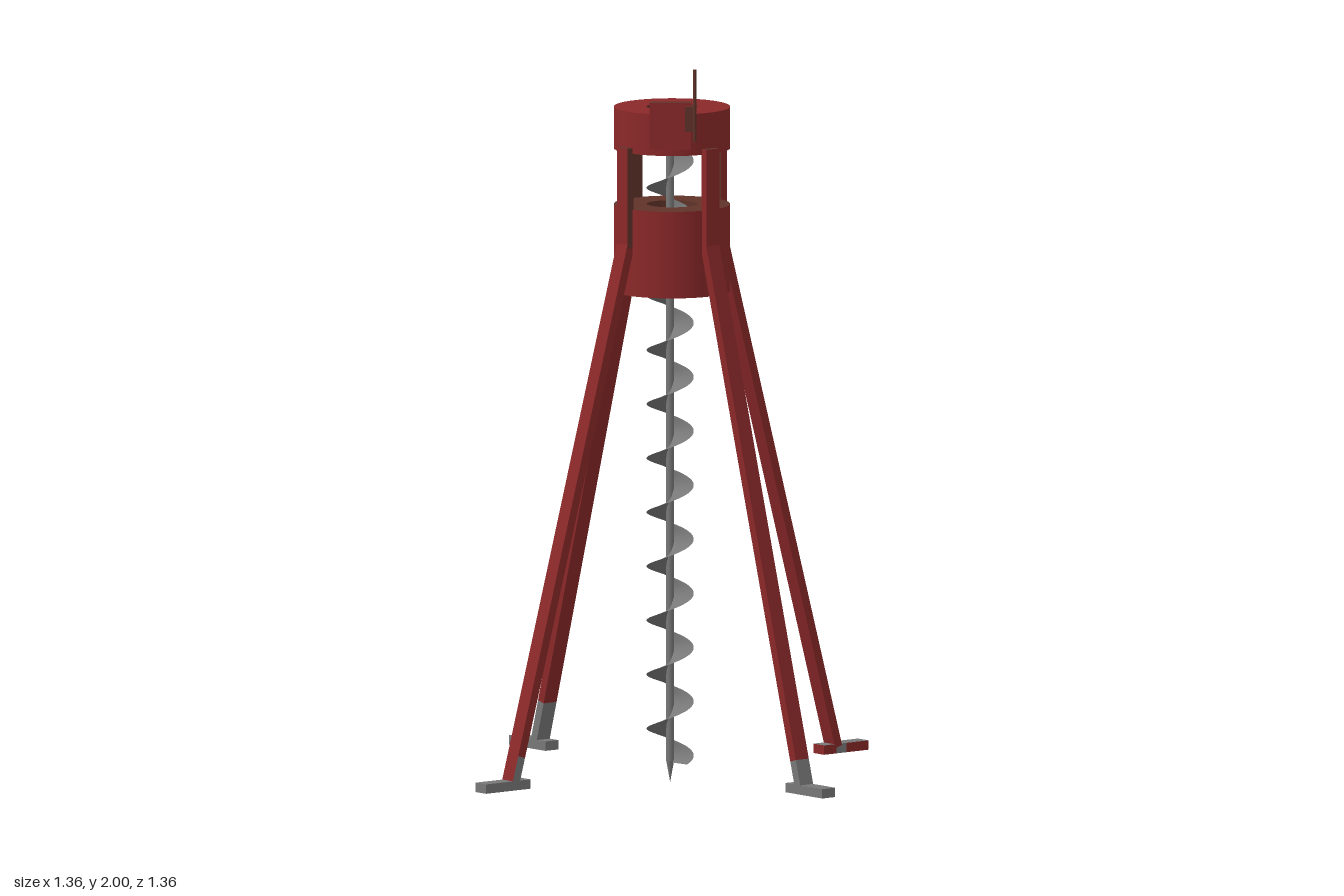
import * as THREE from 'three';

const mat = (name, color, side = THREE.FrontSide) => {
  const m = new THREE.MeshStandardMaterial({ color, side });
  m.name = name;
  return m;
};

export function createModel() {
  const red = mat('red paint', 0x8b2829, THREE.DoubleSide);
  const brown = mat('worn brown', 0x5f3329, THREE.DoubleSide);
  const steel = mat('steel grey', 0x797878, THREE.DoubleSide);

  const model = new THREE.Group();
  model.name = 'augerRig';
  const add = (parent, name, geo, material, x = 0, y = 0, z = 0) => {
    const m = new THREE.Mesh(geo, material);
    m.name = name;
    m.position.set(x, y, z);
    parent.add(m);
    return m;
  };

  // Hollow drums around the auger
  const R = 0.16, HOLE = 0.07;
  function drum(name, y0, y1, topMat) {
    const g = new THREE.Group(), h = y1 - y0;
    g.name = name;
    add(g, name + 'Wall', new THREE.CylinderGeometry(R, R, h, 48, 1, true), red, 0, (y0 + y1) / 2);
    add(g, name + 'Bore', new THREE.CylinderGeometry(HOLE, HOLE, h, 48, 1, true), brown, 0, (y0 + y1) / 2);
    add(g, name + 'Top', new THREE.RingGeometry(HOLE, R, 48).rotateX(-Math.PI / 2), topMat, 0, y1);
    add(g, name + 'Bottom', new THREE.RingGeometry(HOLE, R, 48).rotateX(Math.PI / 2), red, 0, y0);
    model.add(g);
  }
  drum('upperDrum', 1.76, 1.875, red);
  drum('lowerDrum', 1.365, 1.605, brown);

  // Auger: shaft, pointed tip and helical flight
  const auger = new THREE.Group();
  auger.name = 'auger';
  auger.position.z = -0.008;
  add(auger, 'shaft', new THREE.CylinderGeometry(0.011, 0.011, 1.8, 16), steel, 0, 0.96);
  add(auger, 'tip', new THREE.ConeGeometry(0.011, 0.06, 16).rotateX(Math.PI), steel, 0, 0.03);

  const y0 = 0.055, y1 = 1.855, pitch = 0.15, steps = 432;
  const pos = [], idx = [];
  for (let i = 0; i <= steps; i++) {
    const y = y0 + (y1 - y0) * i / steps;
    const t = -2 * Math.PI * (y - 1.29) / pitch;
    for (const r of [0.008, 0.065]) pos.push(r * Math.cos(t), y, r * Math.sin(t));
    if (i < steps) {
      const a = 2 * i;
      idx.push(a, a + 2, a + 1, a + 1, a + 2, a + 3);
    }
  }
  const flight = new THREE.BufferGeometry();
  flight.setAttribute('position', new THREE.Float32BufferAttribute(pos, 3));
  flight.setIndex(idx);
  flight.computeVertexNormals();
  add(auger, 'flight', flight, steel);
  model.add(auger);

  // Four splayed legs, each built pointing to +x then turned
  const W = 0.046, T = 0.025;
  const knee = new THREE.Vector2(0.165, 1.505), ankle = new THREE.Vector2(0.573, 0.05);
  function bar(parent, name, a, b, material) {
    const d = b.clone().sub(a);
    const m = add(parent, name, new THREE.BoxGeometry(T, d.length(), W), material, (a.x + b.x) / 2, (a.y + b.y) / 2);
    m.rotation.z = Math.atan2(d.x, -d.y);
  }
  // Face order: outer, inner, top, bottom, then the two flanks
  const bare = Array(6).fill(steel);
  const legs = [
    { name: 'leftLeg', turn: 0, bare: 0.05, boot: red, flank: red,
      foot: [steel, red, steel, red, red, red], instep: [steel, red, steel, red, steel, red] },
    { name: 'backLeg', turn: Math.PI / 2, bare: 0.08, boot: bare, flank: red, foot: bare, instep: bare },
    { name: 'rightLeg', turn: Math.PI, bare: 0.05, boot: [red, red, red, red, red, steel], flank: brown,
      foot: [steel, red, steel, steel, red, steel], instep: bare },
    { name: 'frontLeg', turn: -Math.PI / 2, bare: 0.05, boot: [steel, steel, steel, steel, steel, red], flank: brown,
      foot: bare, instep: [steel, steel, steel, steel, steel, red] },
  ];
  for (const { name, turn, bare: bareLength, boot, flank, foot, instep } of legs) {
    const leg = new THREE.Group();
    leg.name = name;
    leg.rotation.y = turn;
    const split = knee.clone().lerp(ankle, 1 - bareLength);
    add(leg, 'legUpright', new THREE.BoxGeometry(0.022, 0.278, W), [red, brown, brown, red, red, flank], 0.166, 1.637);
    bar(leg, 'legStrut', knee, split, red);
    bar(leg, 'legBoot', split, ankle, boot);
    // Foot in three lengths: heel, instep under the ankle, toe
    for (const [part, x0, x1, faces] of [
      ['heel', 0.521, 0.565, foot], ['instep', 0.565, 0.6, instep], ['toe', 0.6, 0.679, foot],
    ]) add(leg, part, new THREE.BoxGeometry(x1 - x0, 0.026, W), faces, (x0 + x1) / 2, 0.045);
    model.add(leg);
  }

  // Control box on the upper drum with its tall lever
  const control = new THREE.Group();
  control.name = 'controlBox';
  control.position.set(-0.106, 0, 0.122);
  control.rotation.y = -40 * Math.PI / 180;
  add(control, 'boxBody', new THREE.BoxGeometry(0.115, 0.13, 0.03), [red, red, brown, red, red, brown], 0, 1.845, 0);
  add(control, 'leverBracket', new THREE.BoxGeometry(0.022, 0.07, 0.02), brown, 0.052, 1.865, 0.01);
  add(control, 'lever', new THREE.CylinderGeometry(0.005, 0.005, 0.2, 10), brown, 0.067, 1.9, 0);
  model.add(control);

  return model;
}
